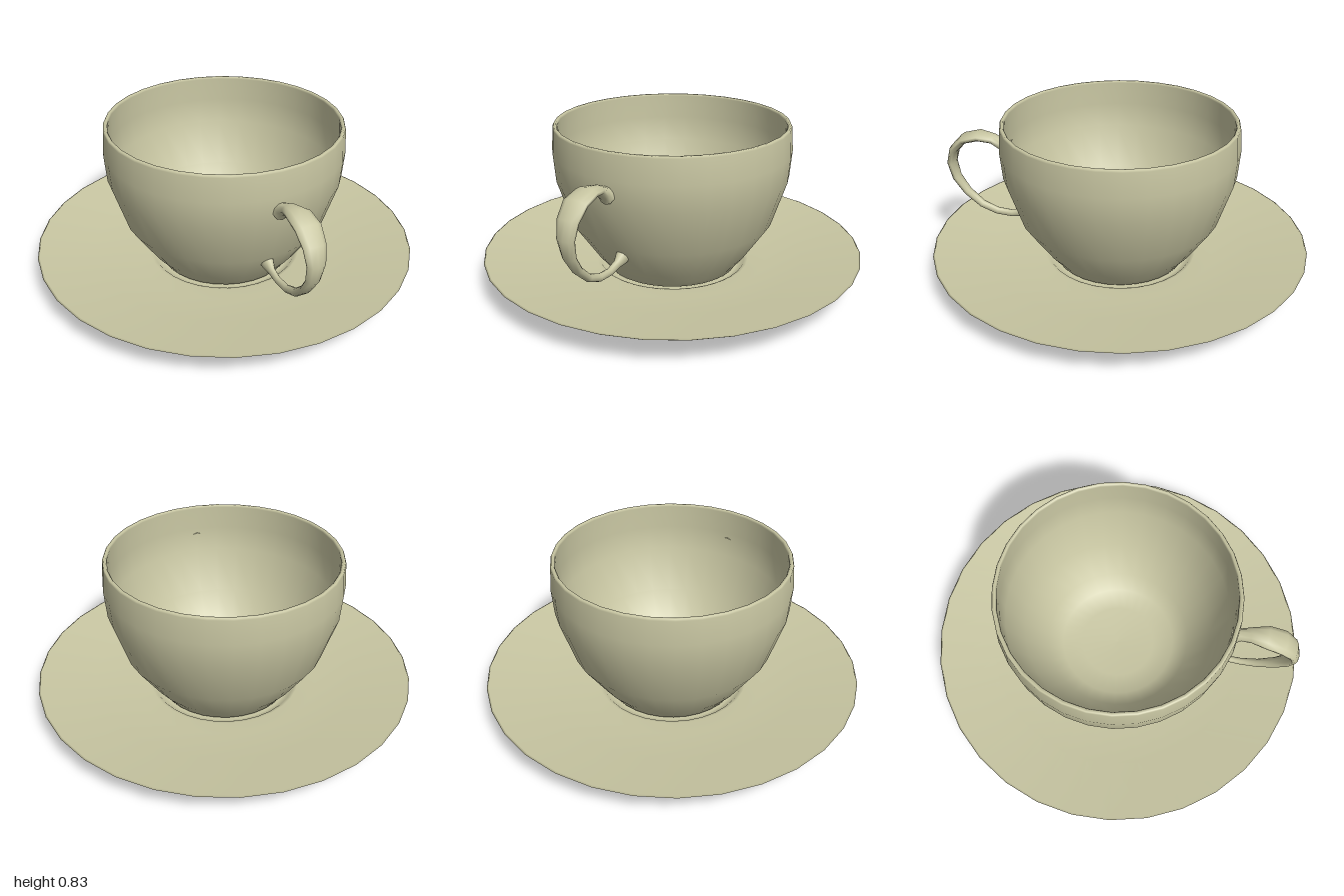
import * as THREE from 'three';

const SEGMENTS = 32;
const HANDLE_SIDES = 10;

// Surface of revolution from [radius, height] pairs, listed from the bottom centre over the rim to the top centre
function turned(name, profile, material) {
  const points = profile.map(([r, y]) => new THREE.Vector2(r, y));
  const mesh = new THREE.Mesh(new THREE.LatheGeometry(points, SEGMENTS), material);
  mesh.name = name;
  return mesh;
}

// Elliptical loops lofted along a path in the yz plane: [z, y, half thickness, half width]
function loft(stations, sides) {
  const positions = [], indices = [];
  stations.forEach(([z, y, thick, wide], i) => {
    const a = stations[Math.max(i - 1, 0)];
    const b = stations[Math.min(i + 1, stations.length - 1)];
    const length = Math.hypot(b[0] - a[0], b[1] - a[1]);
    const nz = -(b[1] - a[1]) / length, ny = (b[0] - a[0]) / length;
    for (let j = 0; j < sides; j++) {
      const angle = (j / sides) * Math.PI * 2;
      const off = Math.cos(angle) * thick;
      positions.push(Math.sin(angle) * wide, y + ny * off, z + nz * off);
      if (i === 0) continue;
      const k = (j + 1) % sides;
      const p = (i - 1) * sides + j, q = (i - 1) * sides + k;
      indices.push(p, p + sides, q, q, p + sides, q + sides);
    }
  });
  const geometry = new THREE.BufferGeometry();
  geometry.setAttribute('position', new THREE.Float32BufferAttribute(positions, 3));
  geometry.setIndex(indices);
  geometry.computeVertexNormals();
  return geometry;
}

export function createModel() {
  const group = new THREE.Group();
  group.name = 'cupAndSaucer';
  const glaze = new THREE.MeshStandardMaterial({ color: 0xc8c6a2 });
  const handleGlaze = glaze.clone();
  handleGlaze.side = THREE.DoubleSide;

  // Saucer: recessed foot ring, shallow flaring dish, sunken well on top
  group.add(turned('saucer', [
    [0, 0.02], [0.29, 0.02], [0.305, 0.004], [0.32, 0], [0.34, 0], [0.352, 0.008],
    [0.362, 0.032], [0.385, 0.042], [0.397, 0.06], [0.5, 0.068], [0.7, 0.087], [0.99, 0.142],
    [1, 0.149], [0.99, 0.153], [0.7, 0.104], [0.5, 0.085], [0.41, 0.079],
    [0.39, 0.073], [0.375, 0.055], [0.35, 0.05], [0, 0.05],
  ], glaze));

  // Cup: rounded bowl with a thin wall and a softly bevelled rim
  group.add(turned('cup', [
    [0, 0.055], [0.32, 0.055], [0.35, 0.065], [0.365, 0.09], [0.415, 0.15], [0.53, 0.32],
    [0.607, 0.56], [0.618, 0.7], [0.609, 0.825], [0.604, 0.835],
    [0.592, 0.835], [0.586, 0.825], [0.59, 0.7], [0.578, 0.565], [0.5, 0.335],
    [0.39, 0.175], [0.31, 0.115], [0.2, 0.095], [0, 0.09],
  ], glaze));

  // Handle: ear-shaped loop, broad at the top, narrow below, flared where it meets the wall
  const handle = new THREE.Mesh(loft([
    [0.602, 0.63, 0.05, 0.045], [0.632, 0.645, 0.032, 0.032], [0.685, 0.676, 0.025, 0.042],
    [0.76, 0.69, 0.025, 0.062], [0.845, 0.668, 0.024, 0.066], [0.905, 0.605, 0.023, 0.058],
    [0.927, 0.525, 0.023, 0.047], [0.908, 0.435, 0.022, 0.037], [0.855, 0.352, 0.021, 0.029],
    [0.775, 0.279, 0.02, 0.022], [0.69, 0.243, 0.02, 0.018], [0.605, 0.235, 0.02, 0.016],
    [0.54, 0.25, 0.025, 0.018], [0.505, 0.266, 0.04, 0.03], [0.488, 0.275, 0.045, 0.034],
  ], HANDLE_SIDES), handleGlaze);
  handle.name = 'handle';
  group.add(handle);

  return group;
}
